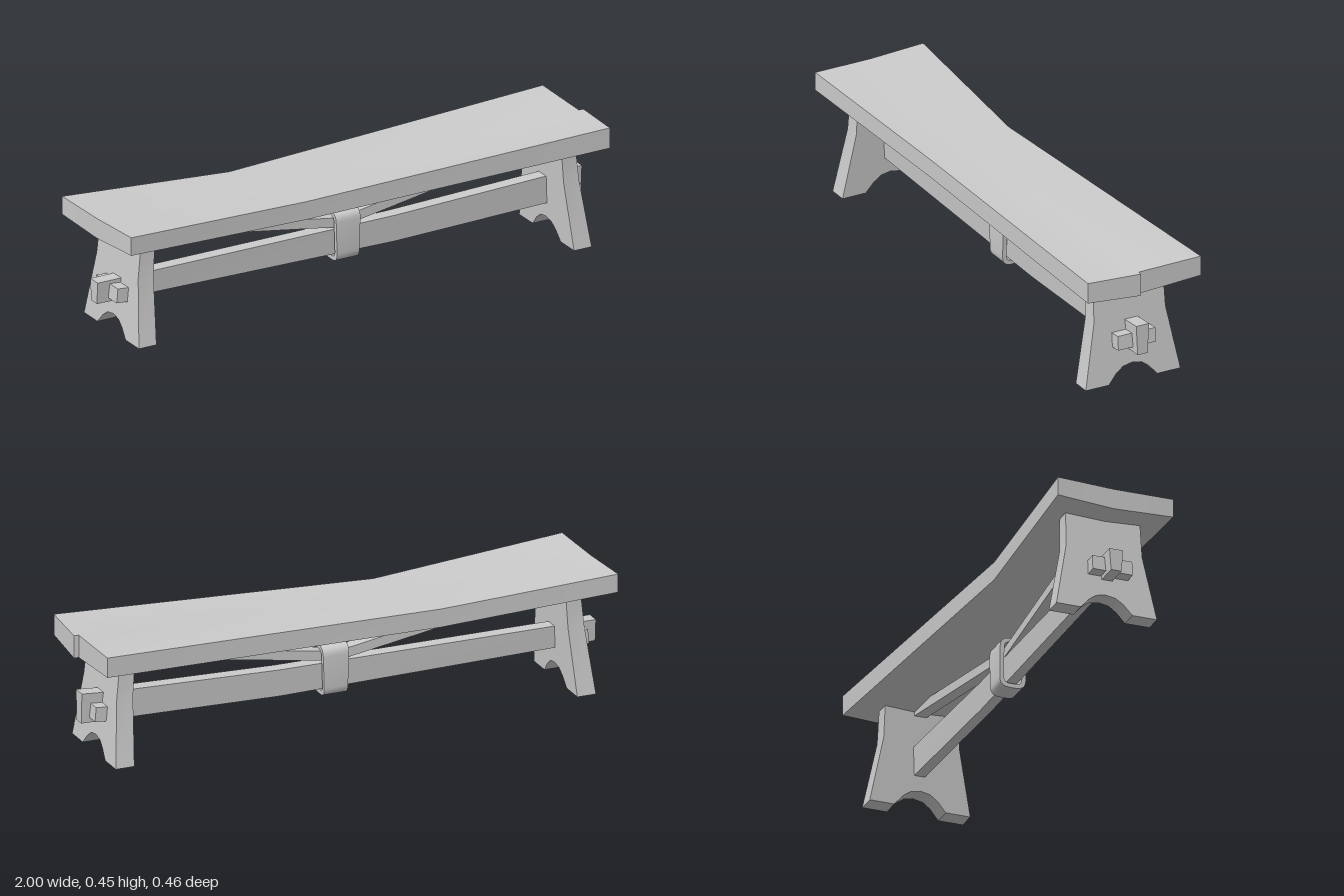
import * as THREE from 'three';
import { toCreasedNormals } from 'three/addons/utils/BufferGeometryUtils.js';

const material = new THREE.MeshStandardMaterial({ color: 0xcccccc });

function addMesh(parent, name, geometry) {
  const mesh = new THREE.Mesh(toCreasedNormals(geometry, 0.6), material);
  mesh.name = name;
  parent.add(mesh);
  return mesh;
}

// Moves each vertex of a unit box by a rule taking coordinates in 0..1
function shapedBox(segments, rule) {
  const geo = new THREE.BoxGeometry(1, 1, 1, ...segments);
  const p = geo.attributes.position;
  for (let i = 0; i < p.count; i++) {
    p.setXYZ(i, ...rule(p.getX(i) + 0.5, p.getY(i) + 0.5, p.getZ(i) + 0.5));
  }
  return geo;
}

// Dished, waisted plank with stepped end grain; columns run back to front
function seatGeometry() {
  const xs = [
    [-1.0, -0.99, -0.99, -0.98],
    [-0.33, -0.28, -0.28, -0.23],
    [0.98, 0.98, 0.998, 0.985],
  ];
  const zs = [
    [-0.217, 0.0, 0.01, 0.232],
    [-0.188, 0.0, 0.01, 0.183],
    [-0.233, 0.019, 0.021, 0.228],
  ];
  const top = [[0.453, 0.448, 0.448, 0.453], [0.415, 0.41, 0.41, 0.414], [0.45, 0.447, 0.447, 0.453]];
  const bottom = [[0.384, 0.372, 0.372, 0.384], [0.346, 0.341, 0.341, 0.345], [0.375, 0.362, 0.362, 0.375]];
  return shapedBox([2, 1, 3], (x, y, z) => {
    const i = Math.round(x * 2), j = Math.round(z * 3);
    return [xs[i][j], (y > 0.5 ? top : bottom)[i][j], zs[i][j]];
  });
}

// Splayed slab leg with an arched foot; side is +1 or -1 along x
function legGeometry(side, shift) {
  const s = new THREE.Shape();
  s.moveTo(0.192, 0);
  [[0.145, 0.245], [0.142, 0.385], [-0.142, 0.385], [-0.145, 0.245], [-0.192, 0],
    [-0.098, 0], [-0.066, 0.037], [-0.037, 0.058], [0, 0.065],
    [0.037, 0.058], [0.066, 0.037], [0.098, 0]].forEach(([z, y]) => s.lineTo(z, y));
  s.closePath();
  const geo = new THREE.ExtrudeGeometry(s, { depth: 1, bevelEnabled: false });
  geo.rotateY(-Math.PI / 2);
  const p = geo.attributes.position;
  for (let i = 0; i < p.count; i++) {
    const t = p.getY(i) / 0.37;
    const outward = side > 0 ? 1 + p.getX(i) : -p.getX(i);
    const inner = 0.853 - 0.023 * t;
    const outer = 0.925 - 0.037 * t;
    p.setX(i, side * (inner + (outer - inner) * outward));
    p.setZ(i, p.getZ(i) + shift);
  }
  return geo;
}

// Long through-stretcher, slightly bowed, thicker at its right tenon
function stretcherGeometry() {
  const xs = [-1.0, 0.22, 0.85, 0.985];
  const low = [0.128, 0.108, 0.121, 0.124];
  const high = [0.21, 0.21, 0.228, 0.238];
  return shapedBox([3, 1, 1], (x, y, z) => {
    const i = Math.round(x * 3);
    const half = y > 0.5 ? 0.026 : 0.02;
    return [xs[i], y > 0.5 ? high[i] : low[i], 0.006 + (z * 2 - 1) * half];
  });
}

// Diagonal brace rising from the strap to the top of a leg
function braceGeometry(side) {
  return shapedBox([1, 1, 1], (x, y, z) => {
    const outer = side > 0 ? x > 0.5 : x < 0.5;
    const h = y > 0.5 ? 0.036 : 0;
    return [side * (outer ? 0.845 : -0.01), (outer ? 0.349 : 0.208) + h, 0.004 + (z - 0.5) * 0.046];
  });
}

function roundedRect(path, halfZ, y0, y1, r) {
  path.moveTo(-halfZ + r, y0);
  path.lineTo(halfZ - r, y0);
  path.quadraticCurveTo(halfZ, y0, halfZ, y0 + r);
  path.lineTo(halfZ, y1 - r);
  path.quadraticCurveTo(halfZ, y1, halfZ - r, y1);
  path.lineTo(-halfZ + r, y1);
  path.quadraticCurveTo(-halfZ, y1, -halfZ, y1 - r);
  path.lineTo(-halfZ, y0 + r);
  path.quadraticCurveTo(-halfZ, y0, -halfZ + r, y0);
  return path;
}

// Strap that binds braces and stretcher at mid-span, flaring slightly upward
function strapGeometry() {
  const s = roundedRect(new THREE.Shape(), 0.05, 0.088, 0.277, 0.036);
  s.holes.push(roundedRect(new THREE.Path(), 0.034, 0.104, 0.262, 0.022));
  const geo = new THREE.ExtrudeGeometry(s, { depth: 1, bevelEnabled: false, curveSegments: 5 });
  geo.rotateY(Math.PI / 2);
  const p = geo.attributes.position;
  for (let i = 0; i < p.count; i++) {
    const width = 0.09 + 0.06 * (p.getY(i) - 0.09);
    p.setX(i, 0.014 + (p.getX(i) - 0.5) * width);
    p.setZ(i, p.getZ(i) + 0.005);
  }
  return geo;
}

export function createModel() {
  const bench = new THREE.Group();
  bench.name = 'bench';

  addMesh(bench, 'seat', seatGeometry());
  addMesh(bench, 'stretcher', stretcherGeometry());
  addMesh(bench, 'strap', strapGeometry());

  for (const side of [-1, 1]) {
    const label = side > 0 ? 'left' : 'right';
    const shift = side > 0 ? 0.011 : 0.0;
    addMesh(bench, label + 'Leg', legGeometry(side, shift));
    addMesh(bench, label + 'Brace', braceGeometry(side));
    // Key driven crosswise through the tenon, leaning with the leg
    const key = addMesh(bench, label + 'Key', new THREE.BoxGeometry(0.05, 0.054, 0.152));
    key.position.set(side * 0.927, 0.168, 0.011);
    key.rotation.z = side * 0.08;
  }
  return bench;
}
